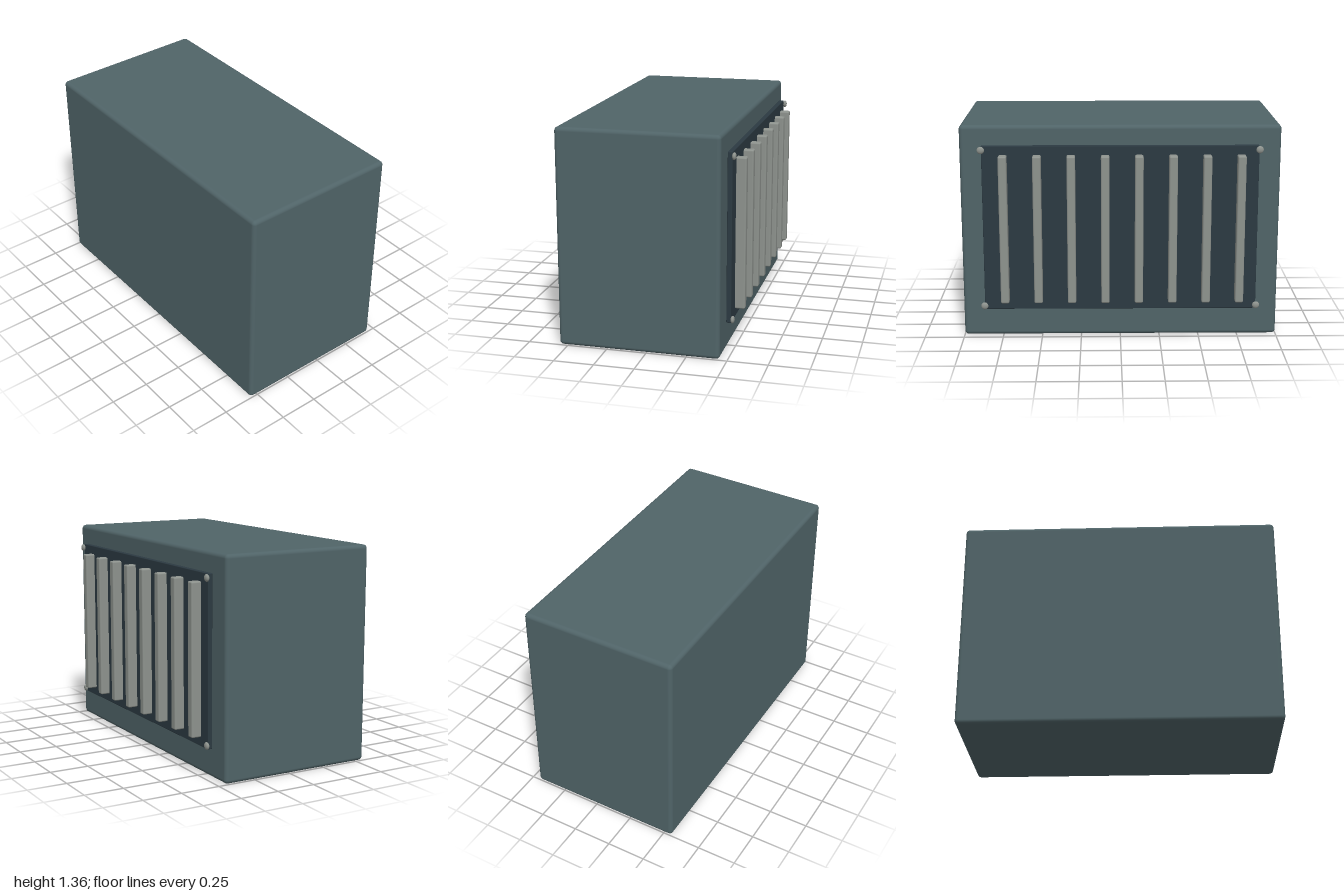
import * as THREE from 'three';
import { RoundedBoxGeometry } from 'three/addons/geometries/RoundedBoxGeometry.js';

const bodyMat = new THREE.MeshStandardMaterial({ color: 0x506468 });
const panelMat = new THREE.MeshStandardMaterial({ color: 0x2c3a42 });
const metalMat = new THREE.MeshStandardMaterial({ color: 0x8e938e });

export function createModel() {
  const model = new THREE.Group();
  model.name = 'ventedCabinet';

  const add = (name, geometry, material, x, y, z) => {
    const mesh = new THREE.Mesh(geometry, material);
    mesh.name = name;
    mesh.position.set(x, y, z);
    model.add(mesh);
    return mesh;
  };

  // Cabinet body with softly rounded edges
  add('body', new RoundedBoxGeometry(2, 1.364, 1.008, 4, 0.025), bodyMat, 0, 0.682, 0.051);

  // Dark vent panel standing just off the back face
  const panelY = 0.715;
  add('ventPanel', new RoundedBoxGeometry(1.722, 1.056, 0.03, 3, 0.005), panelMat, 0, panelY, -0.478);

  // Row of vertical vent bars
  const barGeometry = new RoundedBoxGeometry(0.053, 0.944, 0.07, 3, 0.01);
  for (let i = 0; i < 8; i++) {
    add('ventBar' + (i + 1), barGeometry, metalMat, -0.75 + i * 0.2112, panelY, -0.52);
  }

  // Flattened screw heads at the panel corners
  const screwGeometry = new THREE.SphereGeometry(0.023, 20, 14).scale(1, 1, 0.55);
  for (const x of [-0.862, 0.862]) {
    for (const y of [0.212, 1.218]) add('screw', screwGeometry, metalMat, x, y, -0.503);
  }

  return model;
}
